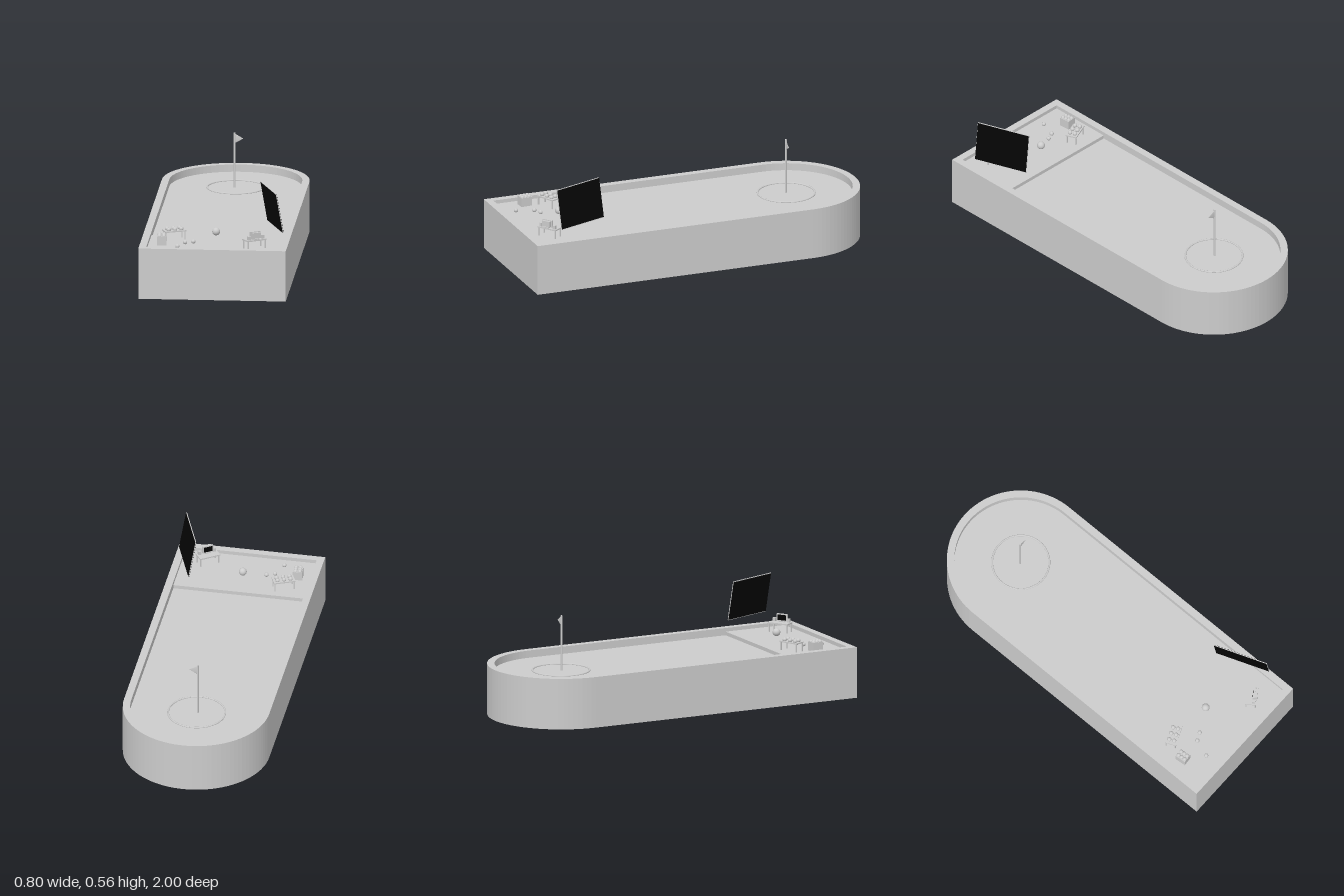
import * as THREE from 'three';

export function createModel() {
  const root = new THREE.Group();
  root.name = 'golfRange';
  const grey = new THREE.MeshStandardMaterial({ color: 0xcccccc });
  grey.name = 'light grey';
  const black = new THREE.MeshStandardMaterial({ color: 0x050505 });
  black.name = 'screen black';

  function add(parent, name, geometry, x, y, z, material = grey) {
    const m = new THREE.Mesh(geometry, material);
    m.name = name;
    m.position.set(x, y, z);
    parent.add(m);
    return m;
  }
  function group(name, x, y, z, turn) {
    const g = new THREE.Group();
    g.name = name;
    g.position.set(x, y, z);
    g.rotation.y = turn;
    root.add(g);
    return g;
  }
  const box = (w, h, d) => new THREE.BoxGeometry(w, h, d);
  const ball = (r) => new THREE.SphereGeometry(r, 20, 14);

  // Outline with a square front and a round back
  function outline(inset, Type = THREE.Shape) {
    const r = 0.4 - inset;
    const s = new Type();
    s.moveTo(-r, inset - 1);
    s.lineTo(r, inset - 1);
    s.lineTo(r, 0.6);
    s.absarc(0, 0.6, r, 0, Math.PI, false);
    s.closePath();
    return s;
  }
  const extrude = (shape, depth) =>
    new THREE.ExtrudeGeometry(shape, { depth, bevelEnabled: false, curveSegments: 24 }).rotateX(-Math.PI / 2);

  // Base: outer wall, sunken green and raised tee platform
  const wall = outline(0);
  wall.holes.push(outline(0.04, THREE.Path));
  add(root, 'outerWall', extrude(wall, 0.28), 0, 0, 0);
  add(root, 'greenFloor', extrude(outline(0.04), 0.24), 0, 0, 0);
  add(root, 'teePlatform', box(0.72, 0.02, 0.36), 0, 0.25, 0.78);

  // Target ring, pole and pennant
  add(root, 'targetRing', new THREE.TorusGeometry(0.155, 0.005, 8, 48).rotateX(Math.PI / 2), 0, 0.242, -0.6);
  add(root, 'flagPole', new THREE.CylinderGeometry(0.0055, 0.0055, 0.305, 16), -0.006, 0.3925, -0.6);
  const flag = add(root, 'flag', new THREE.ConeGeometry(0.025, 0.043, 24).rotateZ(-Math.PI / 2), 0.02, 0.513, -0.6);
  flag.scale.z = 0.1;

  // Teed ball and loose balls
  add(root, 'teedBall', ball(0.0215), 0, 0.315, 0.72);
  for (const [x, z] of [[-0.162, 0.8], [-0.119, 0.78], [-0.196, 0.893]])
    add(root, 'looseBall', ball(0.0115), x, 0.2715, z);

  // Tables stand on the platform with their tops at 0.313
  function table(name, x, z, turn) {
    const g = group(name, x, 0.26, z, turn);
    add(g, 'tableTop', box(0.118, 0.007, 0.062), 0, 0.0495, 0);
    for (const sx of [-1, 1])
      for (const sz of [-1, 1])
        add(g, 'tableLeg', box(0.006, 0.046, 0.006), sx * 0.053, 0.023, sz * 0.025);
    return g;
  }
  const ballTable = table('ballTable', -0.23, 0.69, 0.41);
  for (const x of [-0.036, 0, 0.036])
    for (const z of [-0.014, 0.014])
      add(ballTable, 'tableBall', ball(0.0115), x, 0.059, z);

  // Crate full of balls
  const crate = group('ballCrate', -0.288, 0.26, 0.806, 0.08);
  add(crate, 'crateBox', box(0.052, 0.05, 0.062), 0, 0.025, 0);
  for (const x of [-0.012, 0.012])
    for (const z of [-0.02, 0, 0.02])
      add(crate, 'crateBall', ball(0.011), x, 0.049, z);

  // Computer desk: monitor faces the back, speakers at either side
  const desk = table('computerDesk', 0.219, 0.86, 0.6);
  add(desk, 'monitor', box(0.062, 0.04, 0.01), -0.004, 0.077, 0.014);
  add(desk, 'monitorBack', box(0.05, 0.031, 0.014), -0.004, 0.077, 0.026);
  add(desk, 'monitorFoot', box(0.034, 0.006, 0.024), -0.004, 0.055, 0.018);
  add(desk, 'monitorScreen', box(0.05, 0.03, 0.002), -0.004, 0.077, 0.0085, black);
  for (const x of [-0.043, 0.043])
    add(desk, 'speaker', box(0.015, 0.02, 0.016), x, 0.063, 0.016);

  // Leaning display board, black on both faces
  const board = new THREE.Group();
  board.name = 'displayBoard';
  const along = new THREE.Vector3(0.106, 0, 0.286).normalize();
  const up = new THREE.Vector3(-0.037, 0.22, 0.0137).normalize();
  const out = new THREE.Vector3().crossVectors(along, up);
  board.quaternion.setFromRotationMatrix(new THREE.Matrix4().makeBasis(along, up, out));
  board.position.set(0.303, 0.454, 0.715);
  add(board, 'boardFrame', box(0.305, 0.223, 0.004), 0, 0, 0);
  for (const s of [-1, 1])
    add(board, 'boardFace', box(0.302, 0.216, 0.002), 0, 0, s * 0.0025, black);
  root.add(board);

  return root;
}
